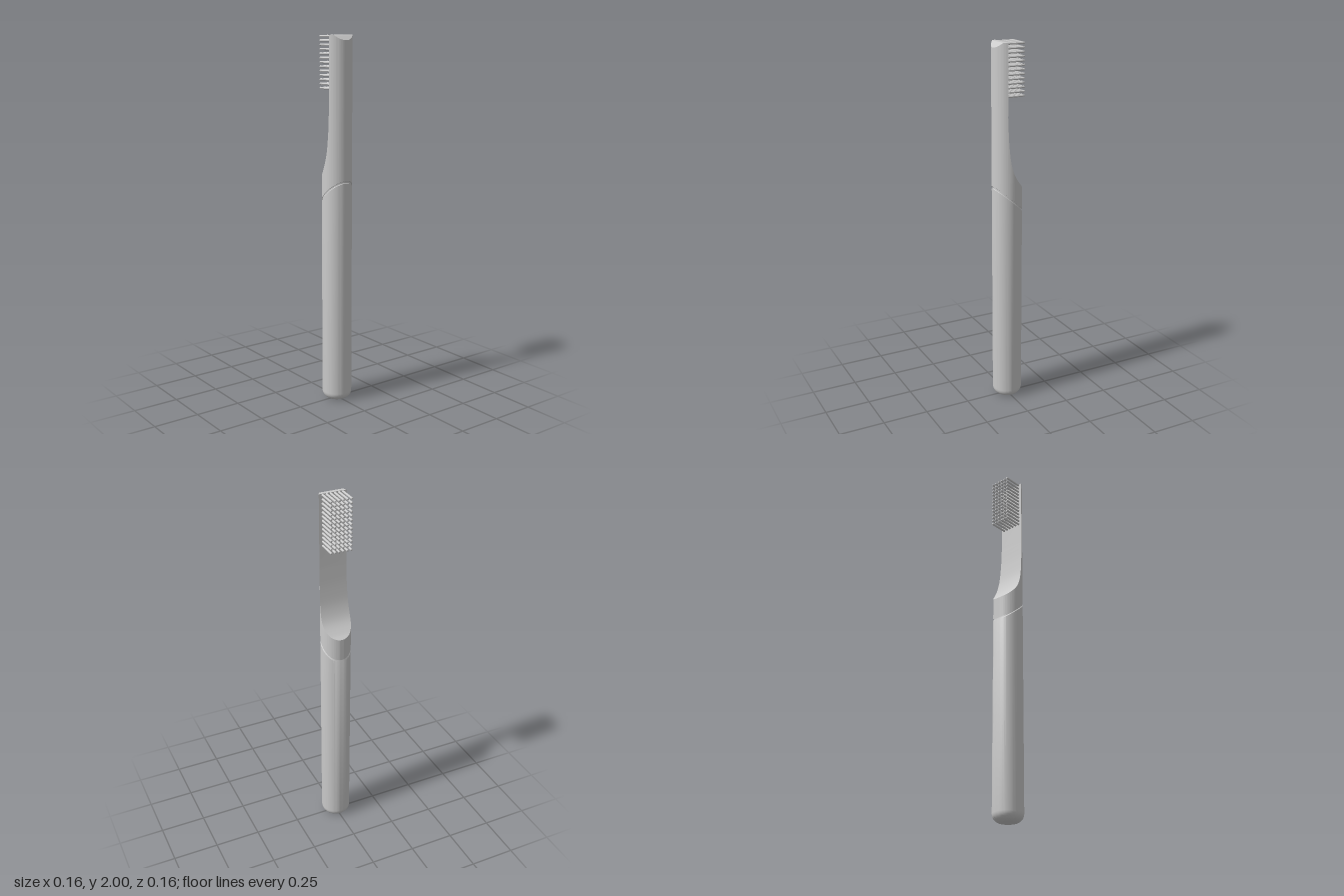
import * as THREE from 'three';
import { toCreasedNormals } from 'three/addons/utils/BufferGeometryUtils.js';

const R = 0.081;            // body radius
const SLOPE = 0.864;        // slant of the joint between handle and neck
const JOINT = 1.165;        // joint height on the axis
const FACE = 0.031;         // x of the flat bristle face
const material = new THREE.MeshStandardMaterial({ color: 0xcccccc, side: THREE.DoubleSide });

function part(name, geometry, crease = 0.5) {
  const mesh = new THREE.Mesh(toCreasedNormals(geometry, crease), material);
  mesh.name = name;
  return mesh;
}

// Round handle with a filleted base, a slanted top and a recessed seam core
function handleGeometry() {
  const fillet = 0.045;
  const profile = [new THREE.Vector2(0, 0)];
  for (let i = 0; i <= 8; i++) {
    const a = (i / 8) * Math.PI / 2;
    profile.push(new THREE.Vector2(R - fillet + fillet * Math.sin(a), fillet - fillet * Math.cos(a)));
  }
  for (const [r, dy] of [[R, -0.005], [R - 0.004, 0], [R - 0.004, 0.014], [0, 0.014]]) {
    profile.push(new THREE.Vector2(r, JOINT + dy));
  }
  const geometry = new THREE.LatheGeometry(profile, 64);
  const pos = geometry.attributes.position;
  for (let i = 0; i < pos.count; i++) {
    if (pos.getY(i) > 0.5) pos.setY(i, pos.getY(i) + SLOPE * pos.getX(i));
  }
  return geometry;
}

// Neck: the same cylinder, scooped away on -x along a curved side profile
function neckGeometry() {
  const scoop = new THREE.CatmullRomCurve3([
    [-R, 1.225], [-0.055, 1.247], [-0.013, 1.3], [0.012, 1.37], [0.025, 1.476], [FACE, 1.62],
  ].map(([x, y]) => new THREE.Vector3(x, y, 0)));
  const path = [];
  for (let i = 0; i <= 48; i++) {
    const p = scoop.getPoint((i / 48) ** 2);
    path.push([Math.min(p.x, FACE), p.y]);
  }
  path.push([FACE, 2]);
  // flat tip, then a bevel down to the back
  const start = Math.acos(FACE / R);
  const bevelX = 0.053;
  for (let i = 1; i <= 20; i++) {
    const x = R * Math.cos(start * (1 - i / 20));
    path.push([x, 2 - 0.027 * Math.max(0, (x - bevelX) / (R - bevelX))]);
  }

  const verts = [];
  const quad = (a, b, c, d) => verts.push(...a, ...b, ...c, ...a, ...c, ...d);
  const section = ([x, y]) => {
    const w = Math.sqrt(Math.max(0, R * R - x * x));
    const base = JOINT + 0.008 + SLOPE * x;
    return { tb: [x, y, -w], tf: [x, y, w], bb: [x, base, -w], bf: [x, base, w] };
  };
  for (let i = 0; i < path.length - 1; i++) {
    const p = section(path[i]), q = section(path[i + 1]);
    quad(p.tb, p.tf, q.tf, q.tb);      // scoop, face and tip
    if (path[i + 1][0] - path[i][0] < 1e-7) continue;
    quad(p.bf, q.bf, q.tf, p.tf);      // +z wall
    quad(q.bb, p.bb, p.tb, q.tb);      // -z wall
    quad(p.bf, p.bb, q.bb, q.bf);      // slanted underside
  }
  const geometry = new THREE.BufferGeometry();
  geometry.setAttribute('position', new THREE.Float32BufferAttribute(verts, 3));
  return geometry;
}

// Grid of thin rods pointing to -x, with slightly bevelled ends
function bristles() {
  const group = new THREE.Group();
  group.name = 'bristles';
  const r = 0.0058, length = 0.106;
  const profile = [[0, 0], [r, 0], [r, length - 0.002], [r - 0.002, length], [0, length]]
    .map(([x, y]) => new THREE.Vector2(x, y));
  const geometry = new THREE.LatheGeometry(profile, 12).rotateZ(Math.PI / 2);
  const rows = 13, columns = 6;
  for (let j = 0; j < rows; j++) {
    for (let k = 0; k < columns; k++) {
      const rod = part('bristle', geometry, 0.6);
      rod.position.set(FACE + 0.002, 1.726 + j * (0.268 / (rows - 1)), (k - (columns - 1) / 2) * 0.0218);
      group.add(rod);
    }
  }
  return group;
}

export function createModel() {
  const model = new THREE.Group();
  model.name = 'toothbrush';
  model.add(part('handle', handleGeometry()), part('neck', neckGeometry()), bristles());
  return model;
}
